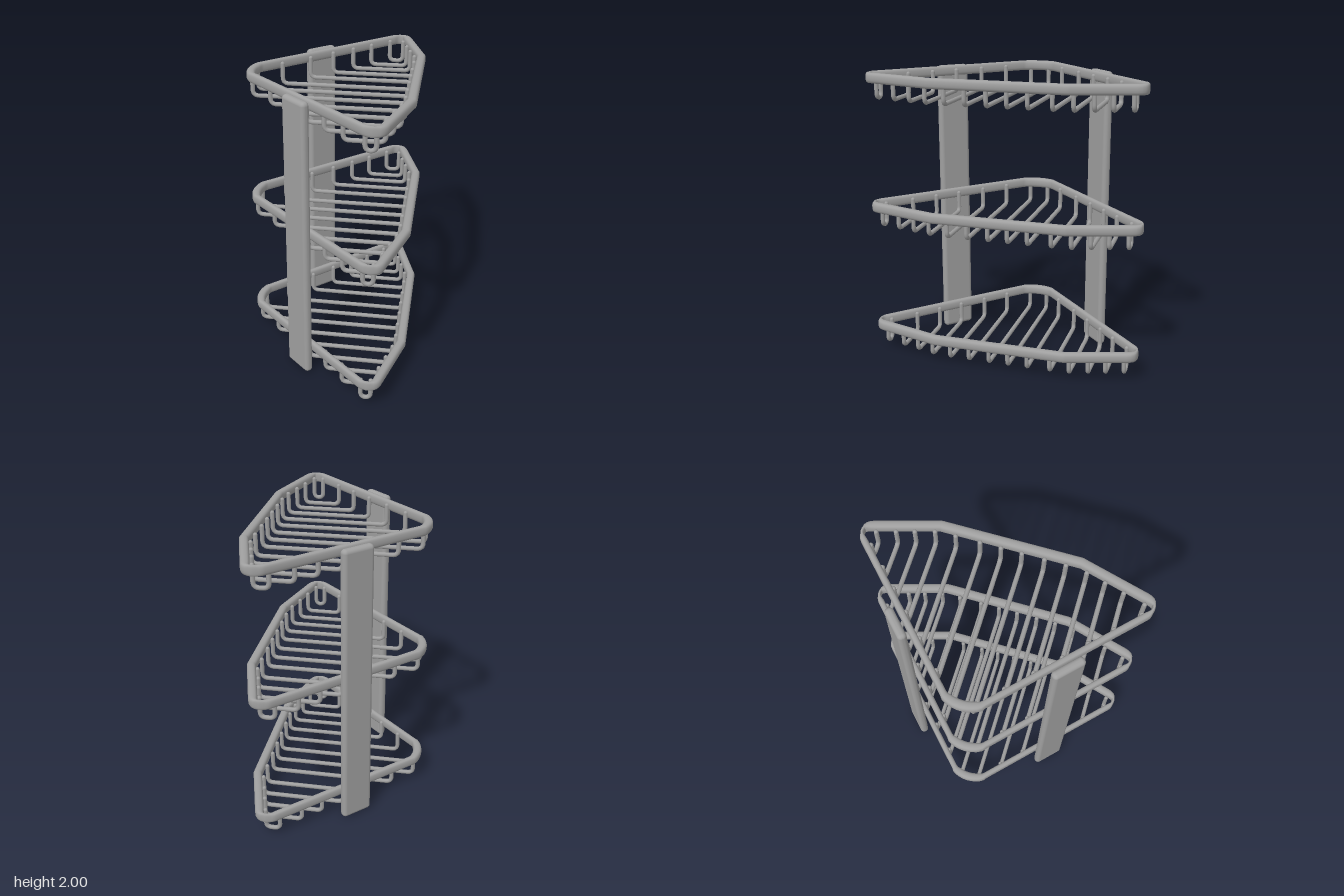
import * as THREE from 'three';
import { toCreasedNormals } from 'three/addons/utils/BufferGeometryUtils.js';
import { RoundedBoxGeometry } from 'three/addons/geometries/RoundedBoxGeometry.js';

const material = new THREE.MeshStandardMaterial({ color: 0x9f9f9f });
const WIRE = 0.0155;

// Centreline of the shelf rim, drawn as x and z
function rimPath() {
  const s = new THREE.Shape();
  // Extra points near both ends keep the shading of straight runs even
  const straight = (x, z) => {
    const from = s.currentPoint.clone(), to = new THREE.Vector2(x, z);
    for (const t of [0.02, 0.98, 1]) {
      const p = from.clone().lerp(to, t);
      s.lineTo(p.x, p.y);
    }
  };
  s.moveTo(-0.524, -0.109);
  straight(0.311, -0.904);
  s.bezierCurveTo(0.345, -0.942, 0.41, -0.958, 0.43, -0.875);
  straight(0.55, -0.475);
  straight(0.55, 0.44);
  straight(0.43, 0.875);
  s.bezierCurveTo(0.41, 0.958, 0.345, 0.942, 0.311, 0.904);
  straight(-0.524, 0.109);
  s.quadraticCurveTo(-0.576, 0, -0.524, -0.109);
  return s.getPoints(10).slice(0, -1);
}

// Sweep a softened square section round the closed rim; it thins where the rim runs along x
function rimGeometry() {
  const path = rimPath(), n = path.length, m = 20;
  const soft = v => Math.sign(v) * Math.abs(v) ** 0.72;
  const positions = [], index = [];
  for (let i = 0; i < n; i++) {
    const p = path[i];
    const t0 = p.clone().sub(path[(i + n - 1) % n]).normalize();
    const t1 = path[(i + 1) % n].clone().sub(p).normalize();
    const t = t0.add(t1).normalize();
    const halfWidth = 0.031 * Math.max(Math.abs(t.y), 0.35);
    for (let j = 0; j < m; j++) {
      const a = (j / m) * Math.PI * 2;
      const out = halfWidth * soft(Math.cos(a));
      positions.push(p.x + t.y * out, 0.035 * soft(Math.sin(a)), p.y - t.x * out);
      const k = (j + 1) % m, q = (i + 1) % n;
      index.push(i * m + j, i * m + k, q * m + j, i * m + k, q * m + k, q * m + j);
    }
  }
  const g = new THREE.BufferGeometry();
  g.setAttribute('position', new THREE.Float32BufferAttribute(positions, 3));
  g.setIndex(index);
  return toCreasedNormals(g, 0.6);
}

// U-shaped wire hanging from the rim between two x positions
function wireGeometry(x0, x1, z) {
  const v = (x, y) => new THREE.Vector3(x, y, z);
  const floor = -0.139, r = 0.04;
  const c = new THREE.CurvePath();
  c.add(new THREE.LineCurve3(v(x0, 0), v(x0, floor + r)));
  c.add(new THREE.QuadraticBezierCurve3(v(x0, floor + r), v(x0, floor), v(x0 + r, floor)));
  c.add(new THREE.LineCurve3(v(x0 + r, floor), v(x1 - r, floor)));
  c.add(new THREE.QuadraticBezierCurve3(v(x1 - r, floor), v(x1, floor), v(x1, floor + r)));
  c.add(new THREE.LineCurve3(v(x1, floor + r), v(x1, 0)));
  return new THREE.TubeGeometry(c, 72, WIRE, 8);
}

// Where a wire meets the slanted left side and the right side of the rim
const leftEnd = z => -0.602 + 1.05 * Math.abs(z);
function rightEnd(z) {
  const kink = z < 0 ? 0.475 : 0.44;
  const past = Math.max(0, Math.abs(z) - kink);
  return 0.507 - past * 0.12 / (0.875 - kink);
}

export function createModel() {
  const model = new THREE.Group();
  model.name = 'cornerShelfRack';
  const add = (parent, geometry, name) => {
    const mesh = new THREE.Mesh(geometry, material);
    mesh.name = name;
    parent.add(mesh);
    return mesh;
  };

  // Three identical wire baskets
  const rim = rimGeometry();
  const cap = new THREE.SphereGeometry(WIRE, 8, 6);
  const rows = [-0.855, -0.735, -0.622, -0.5, -0.367, -0.207, -0.07,
    0.066, 0.212, 0.35, 0.487, 0.612, 0.738, 0.877];
  const wires = rows.map(z => wireGeometry(leftEnd(z), rightEnd(z), z));
  for (const [name, y] of [['lowerBasket', 0.185], ['middleBasket', 1.07], ['upperBasket', 1.965]]) {
    const basket = new THREE.Group();
    basket.name = name;
    basket.position.y = y;
    add(basket, rim, 'rim');
    rows.forEach((z, i) => {
      add(basket, wires[i], 'floorWire');
      for (const x of [leftEnd(z), rightEnd(z)]) add(basket, cap, 'wireEnd').position.set(x, 0, z);
    });
    model.add(basket);
  }

  // Flat rounded uprights fixed outside the two slanted sides
  const post = new RoundedBoxGeometry(0.228, 1.995, 0.06, 5, 0.027);
  for (const [name, x, z, turn] of [['frontPost', -0.15, 0.54, -0.76], ['backPost', -0.172, -0.534, 0.76]]) {
    const mesh = add(model, post, name);
    mesh.position.set(x, 1.0, z);
    mesh.rotation.y = turn;
  }
  return model;
}
